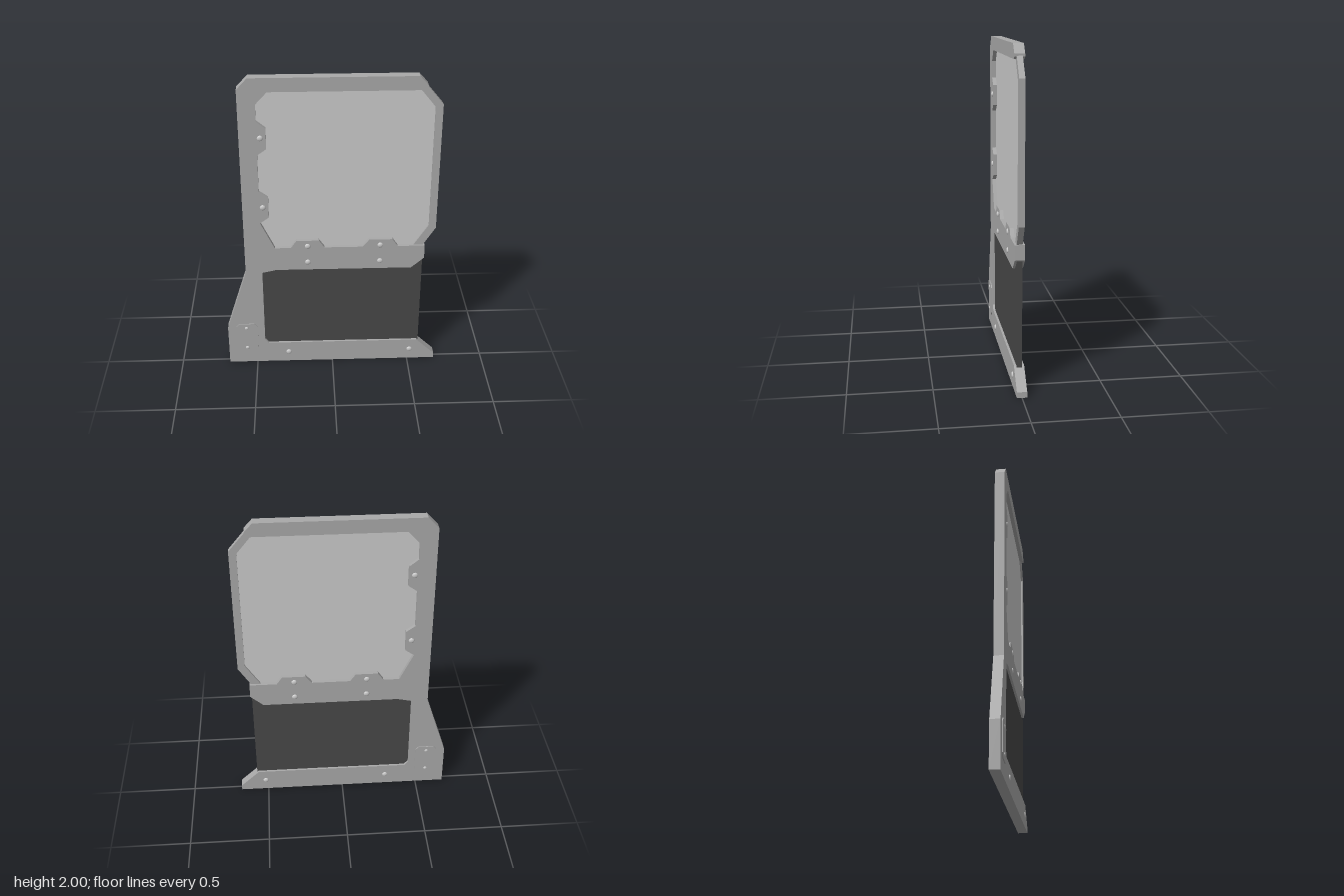
import * as THREE from 'three';

const material = (color) => new THREE.MeshStandardMaterial({ color, flatShading: true });

// Flat plate cut from an outline, centred on z
function plate(name, points, thickness, mat) {
  const shape = new THREE.Shape(points.map(([x, y]) => new THREE.Vector2(x, y)));
  const geo = new THREE.ExtrudeGeometry(shape, { depth: thickness, bevelEnabled: false });
  geo.translate(0, 0, -thickness / 2);
  const mesh = new THREE.Mesh(geo, mat);
  mesh.name = name;
  return mesh;
}

export function createModel() {
  const group = new THREE.Group();
  const frameMat = material(0xa9a9a9);
  const glassMat = material(0xcccccc);
  const darkMat = material(0x484848);
  const T = 0.06;

  // Frame: post, top rail, middle rail and foot in one piece, open on the free side
  group.add(plate('frame', [
    [-0.685, 0], [0.68, 0], [0.68, 0.035], [0.56, 0.15],
    [-0.42, 0.15], [-0.445, 0.18], [-0.445, 0.7], [-0.355, 0.72], [0.5, 0.72],
    [0.58, 0.79], [0.58, 0.88],
    // tabs on the middle rail
    [0.41, 0.88], [0.375, 0.93], [0.23, 0.93], [0.19, 0.88],
    [-0.05, 0.88], [-0.085, 0.93], [-0.225, 0.93], [-0.26, 0.88], [-0.36, 0.88],
    // tabs on the post
    [-0.445, 1.06], [-0.39, 1.1], [-0.39, 1.235], [-0.445, 1.275],
    [-0.445, 1.52], [-0.39, 1.56], [-0.39, 1.69], [-0.445, 1.735],
    [-0.445, 1.84], [-0.375, 1.915],
    [0.53, 1.915], [0.55, 1.93], [0.55, 1.945], [0.5, 2],
    [-0.485, 2], [-0.55, 1.93], [-0.55, 0.7], [-0.685, 0.275],
  ], T, frameMat));

  // Window pane, with its edges tucked into the frame
  group.add(plate('windowPane', [
    [-0.48, 0.86], [0.53, 0.86], [0.62, 1.01], [0.62, 1.81], [0.52, 1.94], [-0.48, 1.94],
  ], 0.012, glassMat));

  // Window rim around the free edge
  group.add(plate('windowRim', [
    [0.5, 0.865], [0.56, 0.865], [0.645, 1], [0.645, 1.82], [0.545, 1.94],
    [0.49, 1.94], [0.6, 1.805], [0.6, 1.02],
  ], 0.034, frameMat));

  // Dark lower panel
  group.add(plate('lowerPanel', [
    [-0.47, 0.13], [0.57, 0.13], [0.57, 0.79], [-0.47, 0.79],
  ], 0.032, darkMat));

  // Raised cover plate, standing proud on both faces
  group.add(plate('coverPlate', [
    [-0.61, 0.085], [-0.51, 0.085], [-0.49, 0.11], [-0.49, 0.285],
    [-0.51, 0.308], [-0.61, 0.308], [-0.63, 0.285], [-0.63, 0.11],
  ], T + 0.012, frameMat));

  // Domed rivets on both faces: x, y, radius, surface height
  const rivets = [
    [-0.425, 1.63, 0.018, 0.03], [-0.425, 1.17, 0.018, 0.03],
    [-0.155, 0.89, 0.018, 0.03], [0.3, 0.89, 0.018, 0.03],
    [-0.155, 0.775, 0.018, 0.03], [0.3, 0.775, 0.018, 0.03],
    [-0.29, 0.075, 0.018, 0.03], [0.515, 0.075, 0.018, 0.03],
    [-0.563, 0.275, 0.012, 0.036], [-0.563, 0.12, 0.012, 0.036],
  ];
  const dome = new THREE.SphereGeometry(1, 12, 4, 0, Math.PI * 2, 0, Math.PI / 2);
  dome.rotateX(Math.PI / 2);
  const rivetMat = new THREE.MeshStandardMaterial({ color: 0xcccccc });
  for (const [x, y, r, z] of rivets) {
    for (const side of [1, -1]) {
      const rivet = new THREE.Mesh(dome, rivetMat);
      rivet.name = 'rivet';
      rivet.scale.set(r, r, r * 0.5);
      rivet.position.set(x, y, side * z);
      if (side < 0) rivet.rotation.y = Math.PI;
      group.add(rivet);
    }
  }
  return group;
}
